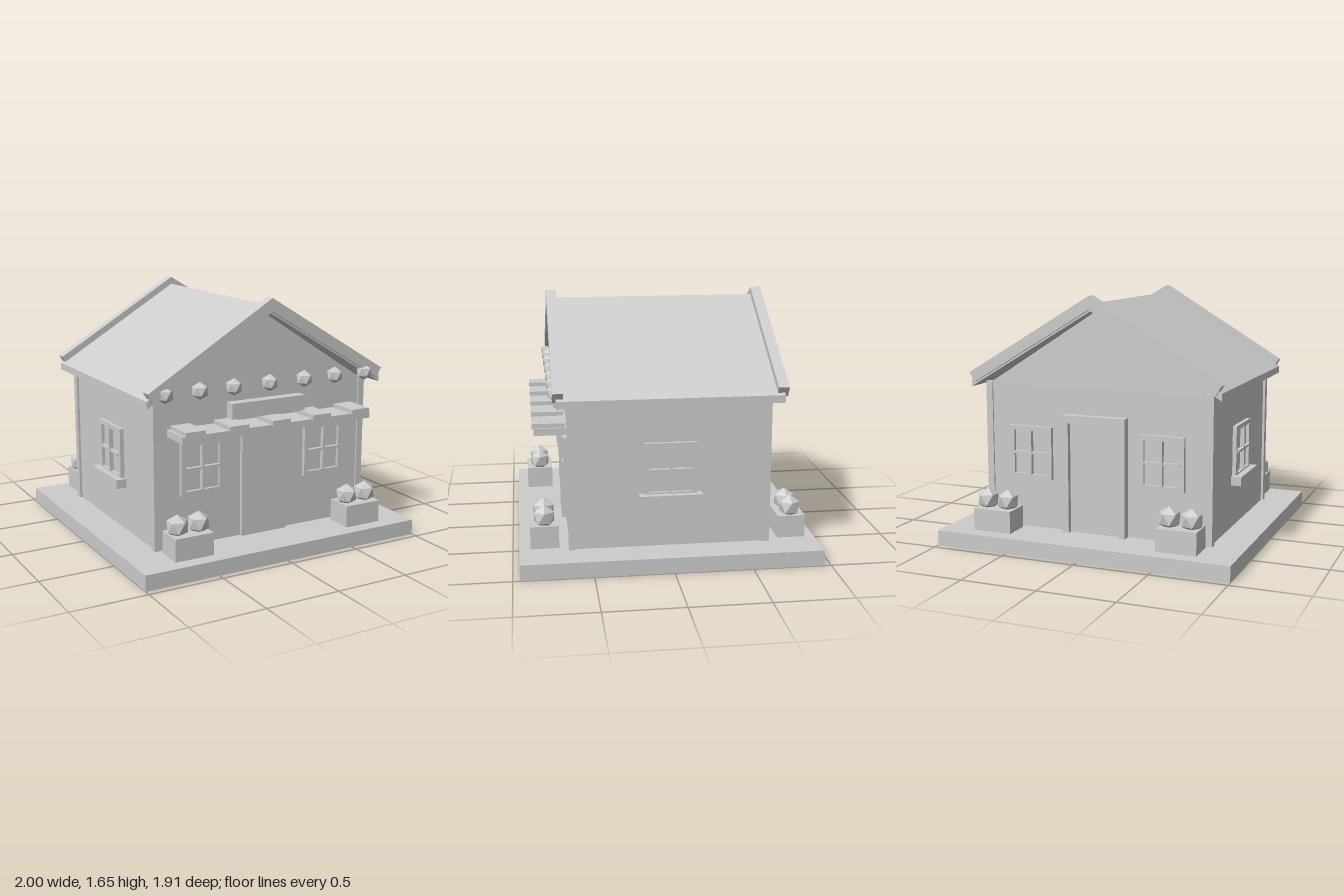
import * as THREE from 'three';

const grey = new THREE.MeshStandardMaterial({ color: 0xcccccc });
grey.name = 'plain grey';

function add(parent, name, geometry) {
  const mesh = new THREE.Mesh(geometry, grey);
  mesh.name = name;
  parent.add(mesh);
  return mesh;
}

// Box given by its extents on each axis
function box(parent, name, x0, x1, y0, y1, z0, z1) {
  const mesh = add(parent, name, new THREE.BoxGeometry(x1 - x0, y1 - y0, z1 - z0));
  mesh.position.set((x0 + x1) / 2, (y0 + y1) / 2, (z0 + z1) / 2);
  return mesh;
}

// Profile given by its right half, mirrored across x = 0 and extruded along z
function mirroredProfile(parent, name, right, z0, z1) {
  const left = right.filter(p => p[0] > 0).reverse().map(([x, y]) => [-x, y]);
  return extrude(parent, name, [...right, ...left], z0, z1);
}

function extrude(parent, name, points, z0, z1) {
  const shape = new THREE.Shape(points.map(p => new THREE.Vector2(...p)));
  const geometry = new THREE.ExtrudeGeometry(shape, { depth: z1 - z0, bevelEnabled: false });
  return add(parent, name, geometry.translate(0, 0, z0));
}

// Faceted ball with a corner pointing up
function ball(parent, name, radius, x, y, z) {
  const geometry = new THREE.IcosahedronGeometry(radius, 0);
  geometry.rotateZ(-Math.atan(2 / (1 + Math.sqrt(5))));
  add(parent, name, geometry).position.set(x, y, z);
}

// Four-pane window facing +z, with its back on z = 0
function makeWindow(width, sill) {
  const g = new THREE.Group();
  g.name = 'window';
  const w = width / 2, rail = 0.03, y0 = 0.435, y1 = 0.785;
  box(g, 'windowPane', -w, w, y0, y1, -0.01, 0.004);
  for (const s of [-1, 1]) {
    const x = s * (w - rail / 2);
    box(g, 'frameSide', x - rail / 2, x + rail / 2, y0, y1, 0, 0.025);
  }
  box(g, 'frameTop', -w + rail, w - rail, y1 - rail, y1, 0, 0.025);
  box(g, 'frameBottom', -w + rail, w - rail, y0, y0 + rail, 0, 0.025);
  box(g, 'uprightBar', -0.008, 0.008, y0 + rail, y1 - rail, 0, 0.033);
  box(g, 'crossBar', -w + rail, w - rail, 0.6, 0.616, 0, 0.03);
  if (sill) box(g, 'windowSill', -0.2, 0.2, 0.395, 0.455, 0, 0.07);
  return g;
}

export function createModel() {
  const model = new THREE.Group();
  model.name = 'cottage';

  // Ground slab and walls with gables
  box(model, 'base', -1, 1, 0, 0.102, -0.956, 0.956);
  mirroredProfile(model, 'walls', [[0, 1.545], [0, 0.1], [0.773, 0.1], [0.773, 1.05]].slice(1).concat([[0, 1.545]]), -0.635, 0.635);

  // Corner posts
  for (const sx of [-1, 1]) for (const sz of [-1, 1]) {
    const x = sx * 0.766, z = sz * 0.62;
    box(model, 'cornerPost', x - 0.023, x + 0.023, 0.1, 1.065, z - 0.025, z + 0.025);
  }

  // Roof and raised gable trims
  mirroredProfile(model, 'roof', [[0, 1.552], [0.86, 1.035], [0.86, 1.083], [0, 1.6]], -0.71, 0.71);
  for (const z of [-0.732, 0.664]) {
    mirroredProfile(model, 'gableTrim', [[0, 1.565], [0.826, 1.069], [0.862, 1.132], [0, 1.65]], z, z + 0.068);
  }

  // Windows on all four sides
  for (const sx of [-1, 1]) {
    for (const sz of [-1, 1]) {
      const w = makeWindow(0.3, false);
      w.position.set(sx * 0.457, 0, sz * 0.637);
      if (sz < 0) w.rotation.y = Math.PI;
      model.add(w);
    }
    const side = makeWindow(0.335, true);
    side.position.set(sx * 0.775, 0, 0);
    side.rotation.y = sx * Math.PI / 2;
    model.add(side);
  }

  // Front door, and back door with its surround
  box(model, 'frontDoor', -0.17, 0.17, 0.1, 0.808, 0.62, 0.66);
  box(model, 'backDoor', -0.175, 0.175, 0.1, 0.83, -0.655, -0.62);
  for (const s of [-1, 1]) {
    box(model, 'doorJamb', s * 0.197 - 0.023, s * 0.197 + 0.023, 0.1, 0.83, -0.69, -0.62);
  }
  box(model, 'doorHeader', -0.22, 0.22, 0.83, 0.88, -0.69, -0.62);

  // Awning with flat blocks, and sign board above it
  box(model, 'awning', -0.692, 0.692, 0.83, 0.875, 0.63, 0.845);
  for (let i = -2; i <= 2; i++) {
    const x = i * 0.304;
    box(model, 'awningBlock', x - 0.067, x + 0.067, 0.87, 0.902, 0.65, 0.857);
  }
  box(model, 'signBoard', -0.27, 0.27, 0.9, 1.003, 0.63, 0.707);

  // Row of lamps under the front gable
  for (const x of [-0.738, -0.5, -0.261, 0, 0.261, 0.5, 0.738]) {
    ball(model, 'lamp', 0.056, x, 1.112, 0.71);
  }

  // Planters with two shrubs each
  for (const sx of [-1, 1]) for (const sz of [-1, 1]) {
    const x = sx * 0.633, z = sz * 0.795;
    box(model, 'planter', x - 0.132, x + 0.132, 0.112, 0.258, z - 0.09, z + 0.09);
    for (const dx of [-0.073, 0.073]) ball(model, 'shrub', 0.075, x + dx, 0.307, z);
  }
  return model;
}
